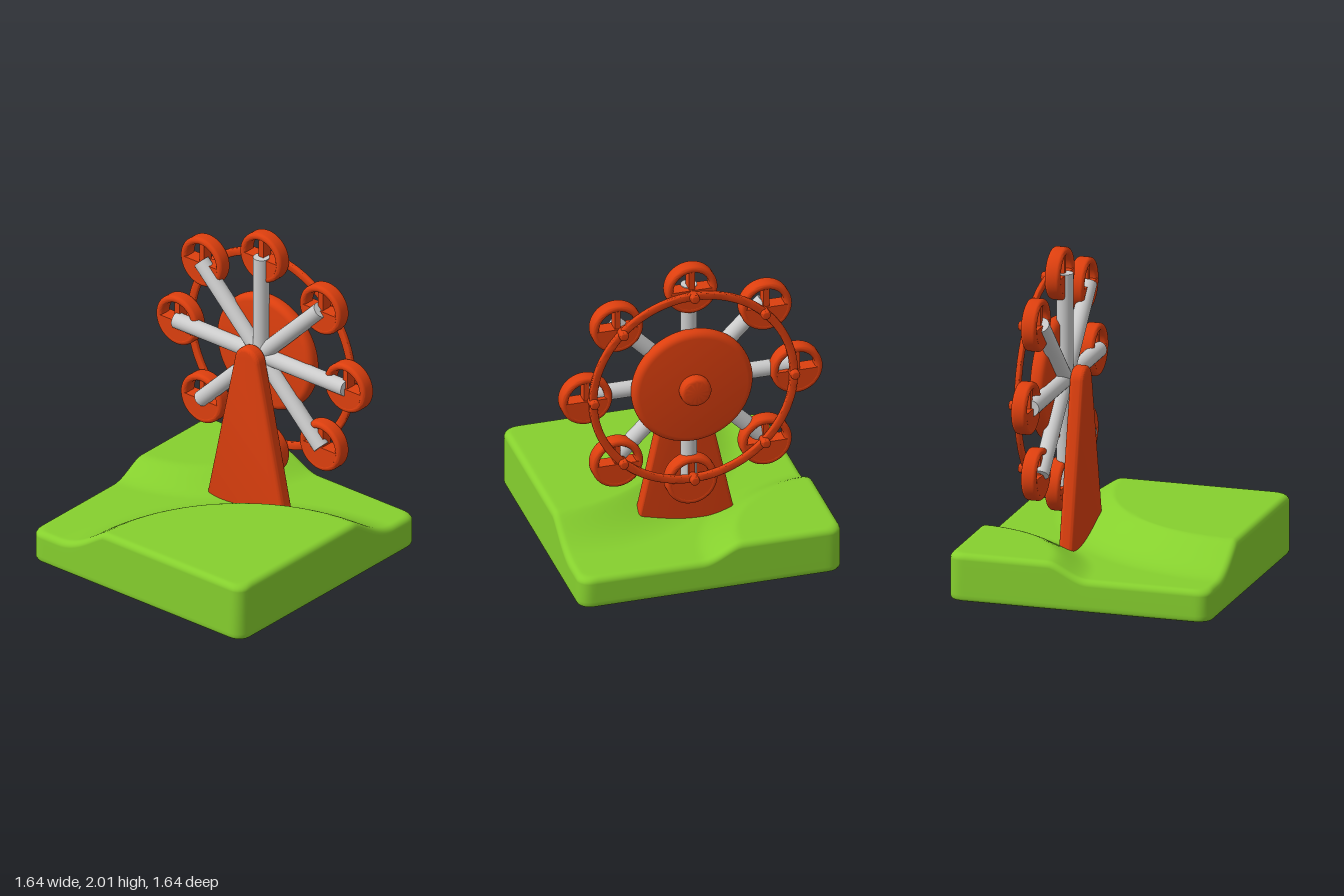
import * as THREE from 'three';
import { toCreasedNormals } from 'three/addons/utils/BufferGeometryUtils.js';

const green = new THREE.MeshStandardMaterial({ color: 0x86d02e });
const orange = new THREE.MeshStandardMaterial({ color: 0xdd3f0e });
const grey = new THREE.MeshStandardMaterial({ color: 0xcccccc });
const HALF = 0.82, HUB_Y = 1.19;

function add(parent, name, geometry, material) {
  const mesh = new THREE.Mesh(geometry, material);
  mesh.name = name;
  parent.add(mesh);
  return mesh;
}

// Disc or ring turned about the x axis, with rounded edges
function turned(rIn, rOut, x0, x1, round, segments = 64) {
  const pts = [];
  const corner = (cx, cy, start) => {
    for (let i = 0; i <= 5; i++) {
      const a = start + (i / 5) * Math.PI / 2;
      pts.push(new THREE.Vector2(cx + Math.cos(a) * round, cy + Math.sin(a) * round));
    }
  };
  if (rIn === 0) pts.push(new THREE.Vector2(0, x0));
  else corner(rIn + round, x0 + round, Math.PI);
  corner(rOut - round, x0 + round, -Math.PI / 2);
  corner(rOut - round, x1 - round, 0);
  if (rIn === 0) pts.push(new THREE.Vector2(0, x1));
  else {
    corner(rIn + round, x1 - round, Math.PI / 2);
    pts.push(pts[0].clone());
  }
  const g = new THREE.LatheGeometry(pts, segments);
  g.rotateZ(-Math.PI / 2);
  return toCreasedNormals(g, 0.7);
}

// Ground height: two round plateaus in opposite corners with a valley between
function groundHeight(x, z) {
  const slope = (r, top, foot, power) => {
    const s = Math.pow(THREE.MathUtils.clamp((r - top) / (foot - top), 0, 1), power);
    return 1 - s * s * (3 - 2 * s);
  };
  const big = slope(Math.hypot(x + HALF, z - HALF), 1.07, 1.43, 0.7);
  const small = slope(Math.hypot(x - HALF, z + HALF), 0.63, 0.88, 0.85);
  return 0.2 + 0.165 * big + 0.095 * small;
}

// Ground block as nested loops of a rounded square
function groundGeometry() {
  const c = HALF - 0.08, outline = new THREE.Shape();
  [[c, c], [-c, c], [-c, -c], [c, -c]].forEach(([x, y], i) =>
    outline.absarc(x, y, 0.08, i * Math.PI / 2, (i + 1) * Math.PI / 2, false));
  outline.closePath();
  const n = 240, loop = outline.getSpacedPoints(n).slice(0, n);
  const round = 0.04, rings = [];
  rings.push([0.82, () => 0], [0.4, () => 0], [0.04, () => 0], [0.02, () => 0]);
  rings.push([0.006, () => 0.006], [0, () => 0.02], [0, () => 0.04]);
  for (let i = 0; i <= 6; i++) {
    const a = (i / 6) * Math.PI / 2;
    rings.push([round * (1 - Math.cos(a)), (h) => h - round * (1 - Math.sin(a))]);
  }
  for (let i = 1; i <= 50; i++) rings.push([round + (HALF - round) * i / 50, (h) => h]);
  const pos = [], index = [];
  rings.forEach(([inset, height], k) => {
    const s = 1 - inset / HALF;
    loop.forEach((p, i) => {
      const x = p.x * s, z = p.y * s;
      pos.push(x, height(groundHeight(x, z)), z);
      if (k === rings.length - 1) return;
      const a = k * n + i, b = k * n + (i + 1) % n;
      index.push(a, a + n, b, b, a + n, b + n);
    });
  });
  const g = new THREE.BufferGeometry();
  g.setAttribute('position', new THREE.Float32BufferAttribute(pos, 3));
  g.setIndex(index);
  g.computeVertexNormals();
  return g;
}

// Tapered support with a round top
function supportGeometry() {
  const s = new THREE.Shape();
  s.moveTo(-0.32, 0.14);
  s.lineTo(0.32, 0.14);
  s.absarc(0, HUB_Y, 0.093, 0.2, Math.PI - 0.2, false);
  s.closePath();
  const g = new THREE.ExtrudeGeometry(s, {
    depth: 0.04, bevelThickness: 0.025, bevelSize: 0.025, bevelOffset: -0.025,
    bevelSegments: 5, curveSegments: 24,
  });
  g.rotateY(Math.PI / 2).translate(0.225, 0, 0);
  return toCreasedNormals(g, 0.7);
}

// Lower half panel of a cabin
function panelGeometry() {
  const s = new THREE.Shape();
  s.absarc(0, 0, 0.13, Math.PI, Math.PI * 2, false);
  s.closePath();
  const g = new THREE.ExtrudeGeometry(s, { depth: 0.094, bevelEnabled: false, curveSegments: 32 });
  g.rotateY(Math.PI / 2).translate(0.3305, 0, 0);
  return toCreasedNormals(g, 0.7);
}

export function createModel() {
  const model = new THREE.Group();
  add(model, 'ground', groundGeometry(), green);
  add(model, 'support', supportGeometry(), orange);

  const wheel = new THREE.Group();
  wheel.name = 'wheel';
  wheel.position.y = HUB_Y;
  model.add(wheel);
  add(wheel, 'axle', turned(0, 0.05, 0.27, 0.42, 0.005, 32), grey);
  add(wheel, 'centreDisc', turned(0, 0.375, 0.36, 0.455, 0.04, 80), orange);
  add(wheel, 'hubCap', turned(0, 0.095, 0.44, 0.52, 0.025, 40), orange);
  add(wheel, 'outerRing', turned(0.6, 0.65, 0.425, 0.457, 0.01, 96), orange);

  // Eight spokes, each with a pin and an upright cabin
  const spoke = new THREE.CylinderGeometry(0.05, 0.05, 0.66, 24).translate(0, 0.33, 0);
  const pin = turned(0, 0.029, 0.41, 0.49, 0.01, 20);
  const rim = turned(0.115, 0.16, 0.33, 0.425, 0.021, 48);
  const panel = panelGeometry();
  const bar = new THREE.BoxGeometry(0.07, 0.13, 0.036).translate(0.378, 0.065, 0);
  for (let i = 0; i < 8; i++) {
    const a = i * Math.PI / 4, y = Math.cos(a), z = Math.sin(a);
    const arm = add(wheel, 'spoke', spoke, grey);
    arm.position.x = 0.345;
    arm.rotation.x = a;
    add(wheel, 'pin', pin, orange).position.set(0, y * 0.625, z * 0.625);

    const cabin = new THREE.Group();
    cabin.name = 'cabin';
    cabin.position.set(0, y * 0.655, z * 0.655);
    add(cabin, 'cabinRim', rim, orange);
    add(cabin, 'cabinPanel', panel, orange);
    add(cabin, 'cabinBar', bar, orange);
    wheel.add(cabin);
  }
  return model;
}
